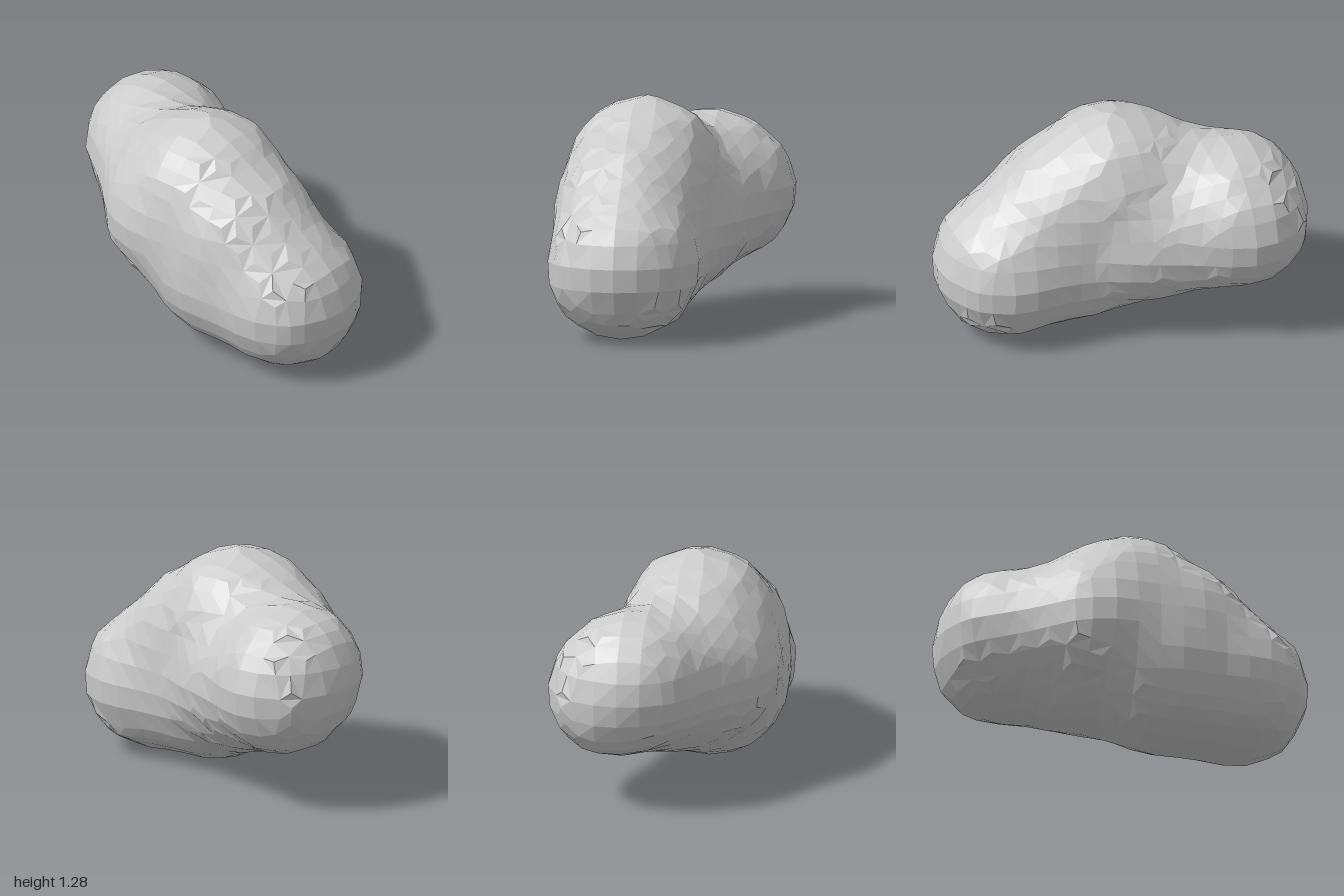
import * as THREE from 'three';

const V = (x, y, z) => new THREE.Vector3(x, y, z);
const lobe = (x, y, z, r) => ({ at: V(x, y, z), r });

// Round lobes that make up the body
const frontLeft = lobe(-0.16, 0.385, 0.61, 0.385);
const frontRight = lobe(-0.215, 0.385, 0.61, 0.385);
const chin = lobe(-0.19, 0.5, 0.48, 0.38);
const chest = lobe(-0.19, 0.66, 0.27, 0.41);
const hump = lobe(-0.15, 0.83, 0, 0.41);
const humpRear = lobe(-0.12, 0.78, -0.17, 0.405);
const belly = lobe(-0.19, 0.425, 0.2, 0.415);
const waist = lobe(-0.19, 0.65, -0.15, 0.415);
const keel = lobe(-0.02, 0.55, -0.15, 0.405);
const backUpper = lobe(0.15, 0.71, -0.615, 0.385);
const backLower = lobe(0.25, 0.645, -0.63, 0.37);

// Tapered links that join neighbouring lobes
const links = [
  [frontLeft, frontRight], [frontLeft, chin], [frontRight, chin], [chin, chest],
  [frontLeft, belly], [frontRight, belly], [chest, belly], [chest, hump],
  [hump, humpRear], [hump, waist], [belly, waist], [belly, keel], [keel, waist],
  [waist, backUpper], [keel, backLower], [backUpper, backLower],
].map(([a, b]) => ({ line: new THREE.Line3(a.at, b.at), ra: a.r, rb: b.r }));

// Signed distance to the skin, with the links softly blended
const BLEND = 0.05;
const near = new THREE.Vector3();
const field = (p) => links.reduce((d, { line, ra, rb }) => {
  const t = line.closestPointToPointParameter(p, true);
  const e = line.at(t, near).distanceTo(p) - THREE.MathUtils.lerp(ra, rb, t);
  const h = Math.max(BLEND - Math.abs(d - e), 0) / BLEND;
  return Math.min(d, e) - h * h * BLEND / 4;
}, 10);

// Coarse grid that gives the skin its blocky facets
const STEP = 0.128;
const ORIGIN = [-0.766, -0.15, -1.156];
const COUNT = [12, 12, 18];
const node = (c) => V(...c.map((n, a) => ORIGIN[a] + n * STEP));
const shift = (c, axis, n = 1) => c.map((v, a) => (a === axis ? v + n : v));

function eachNode(visit) {
  for (let i = 0; i < COUNT[0]; i++)
    for (let j = 0; j < COUNT[1]; j++)
      for (let k = 0; k < COUNT[2]; k++) visit([i, j, k]);
}

// One skin point per grid cell, joined by a quad across every grid edge the skin cuts
function bodyGeometry() {
  const cells = new Map(), quads = [];
  eachNode((c) => {
    const p = node(c), f = field(p);
    for (let a = 0; a < 3; a++) {
      const q = node(shift(c, a)), g = field(q);
      if (f < 0 === g < 0) continue;
      const cut = p.clone().lerp(q, f / (f - g));
      const b = (a + 1) % 3, d = (a + 2) % 3;
      const ring = [c, shift(c, b, -1), shift(shift(c, b, -1), d, -1), shift(c, d, -1)].map(String);
      for (const key of ring) {
        if (!cells.has(key)) cells.set(key, { id: cells.size, sum: V(0, 0, 0), n: 0 });
        const cell = cells.get(key);
        cell.sum.add(cut);
        cell.n++;
      }
      quads.push(f < 0 ? ring : ring.reverse());
    }
  });
  const pos = [...cells.values()].flatMap(({ sum, n }) => sum.divideScalar(n).toArray());
  const index = quads.flatMap((ring) => {
    const [a, b, c, d] = ring.map((key) => cells.get(key).id);
    return [a, b, c, a, c, d];
  });
  const g = new THREE.BufferGeometry();
  g.setAttribute('position', new THREE.Float32BufferAttribute(pos, 3));
  g.setIndex(index);
  g.computeVertexNormals();
  return g;
}

export function createModel() {
  const group = new THREE.Group();
  group.name = 'lumpyBlob';
  const body = new THREE.Mesh(
    bodyGeometry(),
    new THREE.MeshStandardMaterial({ color: 0xcccccc, flatShading: true })
  );
  body.name = 'body';
  group.add(body);
  return group;
}
